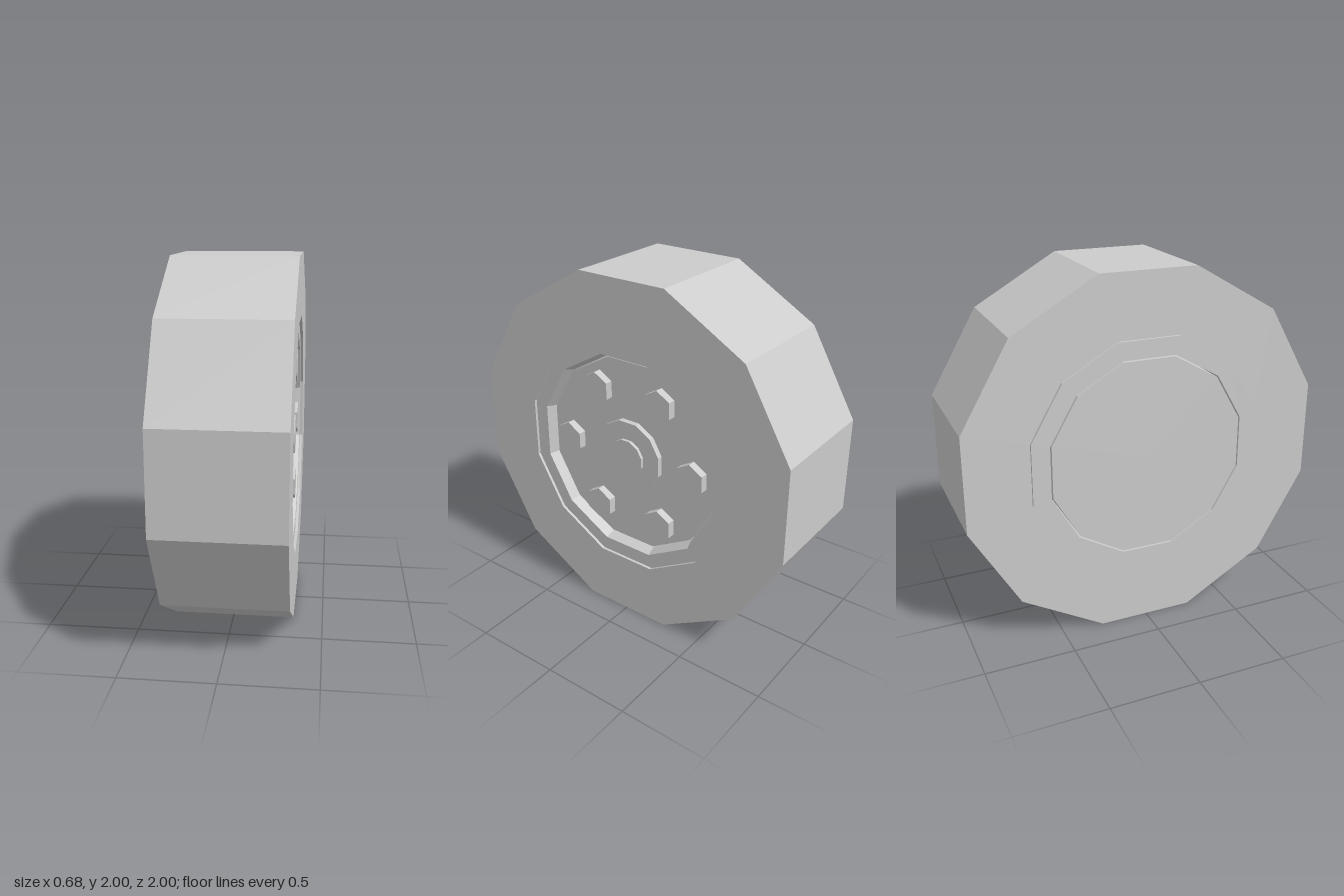
import * as THREE from 'three';

const material = new THREE.MeshStandardMaterial({ color: 0xcccccc, flatShading: true });

// circumradius of a regular polygon from its flat-to-centre distance
const corner = (flat, sides) => flat / Math.cos(Math.PI / sides);

// solid prism along x from x0 to x1, with the polygon turned by half a side
function prism(name, flat, x0, x1, sides = 12) {
  const r = corner(flat, sides);
  const geometry = new THREE.CylinderGeometry(r, r, x1 - x0, sides);
  geometry.rotateY(Math.PI / sides).rotateZ(-Math.PI / 2).translate((x0 + x1) / 2, 0, 0);
  const mesh = new THREE.Mesh(geometry, material);
  mesh.name = name;
  return mesh;
}

// twelve-sided ring around x; profile is [flat radius, x], closed, outer side first
function ring(name, profile) {
  const points = [...profile, profile[0]].map(([r, x]) => new THREE.Vector2(corner(r, 12), x));
  const geometry = new THREE.LatheGeometry(points, 12);
  geometry.rotateY(Math.PI / 12).rotateZ(-Math.PI / 2);
  const mesh = new THREE.Mesh(geometry, material);
  mesh.name = name;
  return mesh;
}

export function createModel() {
  const wheel = new THREE.Group();
  wheel.name = 'wheel';
  wheel.position.y = 1;

  // Tyre, and the rim set slightly through towards the inner side
  wheel.add(ring('tyre', [[1, -0.328], [1, 0.338], [0.65, 0.338], [0.65, -0.328]]));
  wheel.add(ring('rim', [[0.65, -0.343], [0.65, 0.322], [0.57, 0.322], [0.55, 0.27], [0.55, -0.343]]));

  // Recessed disc with a stepped hub
  wheel.add(prism('disc', 0.542, -0.343, 0.272));
  wheel.add(prism('hub', 0.207, 0.272, 0.303));
  wheel.add(prism('hubCap', 0.105, 0.303, 0.32));

  // Six hexagonal bolts
  for (let i = 0; i < 6; i++) {
    const a = (i * Math.PI) / 3;
    const bolt = prism('bolt', 0.081, 0.272, 0.317, 6);
    bolt.position.set(0, 0.414 * Math.sin(a), 0.414 * Math.cos(a));
    wheel.add(bolt);
  }

  const model = new THREE.Group();
  model.name = 'model';
  model.add(wheel);
  return model;
}
